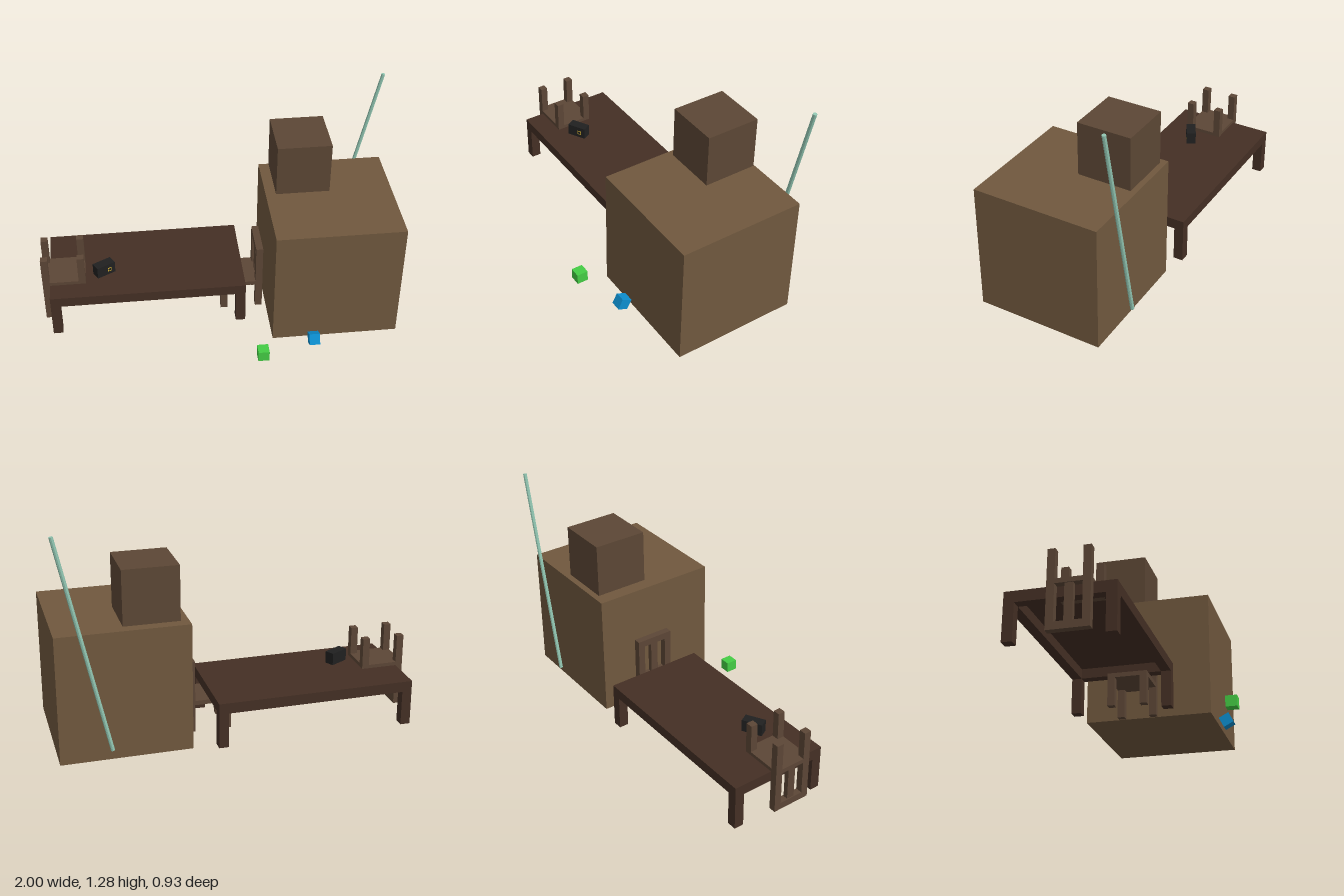
import * as THREE from 'three';

const mat = (color) => new THREE.MeshStandardMaterial({ color, flatShading: true });
const tableWood = mat(0x442f24);
const chairWood = mat(0x5c4636);
const crateWood = mat(0x70583e);
const darkCrateWood = mat(0x5c4735);
const poleMetal = mat(0x90c4b0);
const green = mat(0x44cc44);
const blue = mat(0x0c8fd0);
const black = mat(0x202020);
const yellow = mat(0xc8a830);

// Box given by its minimum and maximum corners
function box(name, material, [x0, y0, z0], [x1, y1, z1]) {
  const m = new THREE.Mesh(new THREE.BoxGeometry(x1 - x0, y1 - y0, z1 - z0), material);
  m.position.set((x0 + x1) / 2, (y0 + y1) / 2, (z0 + z1) / 2);
  m.name = name;
  return m;
}

function group(name, ...parts) {
  const g = new THREE.Group();
  g.name = name;
  g.add(...parts);
  return g;
}

// Thin top on a deep apron, open from below
function createTable() {
  const hx = 0.555, hz = 0.2825, t = 0.055, low = 0.2, high = 0.26;
  const g = group('table', box('tableTop', tableWood, [-hx, high - 0.004, -hz], [hx, high, hz]));
  for (const s of [-1, 1]) {
    const z = s * (hz - t / 2), x = s * (hx - t / 2);
    g.add(box('longApron', tableWood, [-hx, low, z - t / 2], [hx, high - 0.004, z + t / 2]));
    g.add(box('shortApron', tableWood, [x - t / 2, low, -hz + t], [x + t / 2, high - 0.004, hz - t]));
    for (const r of [-1, 1]) {
      const lz = r * (hz - t / 2);
      g.add(box('tableLeg', tableWood, [x - t / 2, 0, lz - t / 2], [x + t / 2, low, lz + t / 2]));
    }
  }
  g.position.set(-0.405, 0.02, -0.1625);
  return g;
}

// Chair standing on its origin, with the backrest on +x
function createChair(name) {
  const hx = 0.122, hz = 0.11, t = 0.04, seat = 0.16, seatTop = 0.185, top = 0.42;
  const g = group(name, box('seat', chairWood, [-hx, seat, -hz], [hx, seatTop, hz]));
  for (const s of [-1, 1]) {
    const z = s * (hz - t / 2);
    for (const r of [-1, 1]) {
      const x = r * (hx - t / 2);
      g.add(box('chairLeg', chairWood, [x - t / 2, 0, z - t / 2], [x + t / 2, seat, z + t / 2]));
    }
    g.add(box('backPost', chairWood, [hx - t, seatTop, z - t / 2], [hx, top, z + t / 2]));
  }
  g.add(box('backRail', chairWood, [hx - t, top - t, -hz + t], [hx, top, hz - t]));
  g.add(box('backSlat', chairWood, [hx - t + 0.006, seatTop, -0.022], [hx - 0.006, top - t, 0.022]));
  return g;
}

// Little box with a square button frame on its front
function createRadio() {
  const g = group('radio', box('radioBody', black, [-0.0575, 0, -0.0275], [0.0575, 0.07, 0.0275]));
  g.add(box('buttonFrame', yellow, [0.009, 0.021, 0.0275], [0.033, 0.045, 0.029]));
  g.add(box('button', black, [0.014, 0.026, 0.029], [0.028, 0.04, 0.0295]));
  g.position.set(-0.648, 0.284, -0.078);
  g.rotation.y = 0.5;
  return g;
}

// Straight rod leaning sideways
function createPole() {
  const a = new THREE.Vector3(0.727, 0.097, -0.455), b = new THREE.Vector3(0.987, 1.277, -0.455);
  const pole = new THREE.Mesh(new THREE.CylinderGeometry(0.011, 0.011, a.distanceTo(b), 8), poleMetal);
  pole.name = 'pole';
  pole.position.copy(a).lerp(b, 0.5);
  pole.quaternion.setFromUnitVectors(new THREE.Vector3(0, 1, 0), b.clone().sub(a).normalize());
  return pole;
}

export function createModel() {
  const chair = createChair('uprightChair');
  chair.position.set(0.141, 0.02, -0.107);

  // Second chair turned upside down on the table
  const flipped = createChair('upturnedChair');
  flipped.rotation.z = Math.PI;
  flipped.position.set(-0.878, 0.46, -0.107);

  const blueCube = box('blueCube', blue, [0.485, 0.0155, 0.3145], [0.545, 0.0785, 0.3775]);
  blueCube.position.y = 0.046;
  blueCube.rotation.x = -0.48;

  return group('room',
    createTable(), chair, flipped, createRadio(), createPole(),
    box('largeCrate', crateWood, [0.285, 0.025, -0.415], [1, 0.74, 0.3]),
    box('smallCrate', darkCrateWood, [0.34, 0.757, -0.395], [0.643, 1.06, -0.09]),
    box('greenCube', green, [0.18, 0.015, 0.4], [0.243, 0.078, 0.465]),
    blueCube);
}
